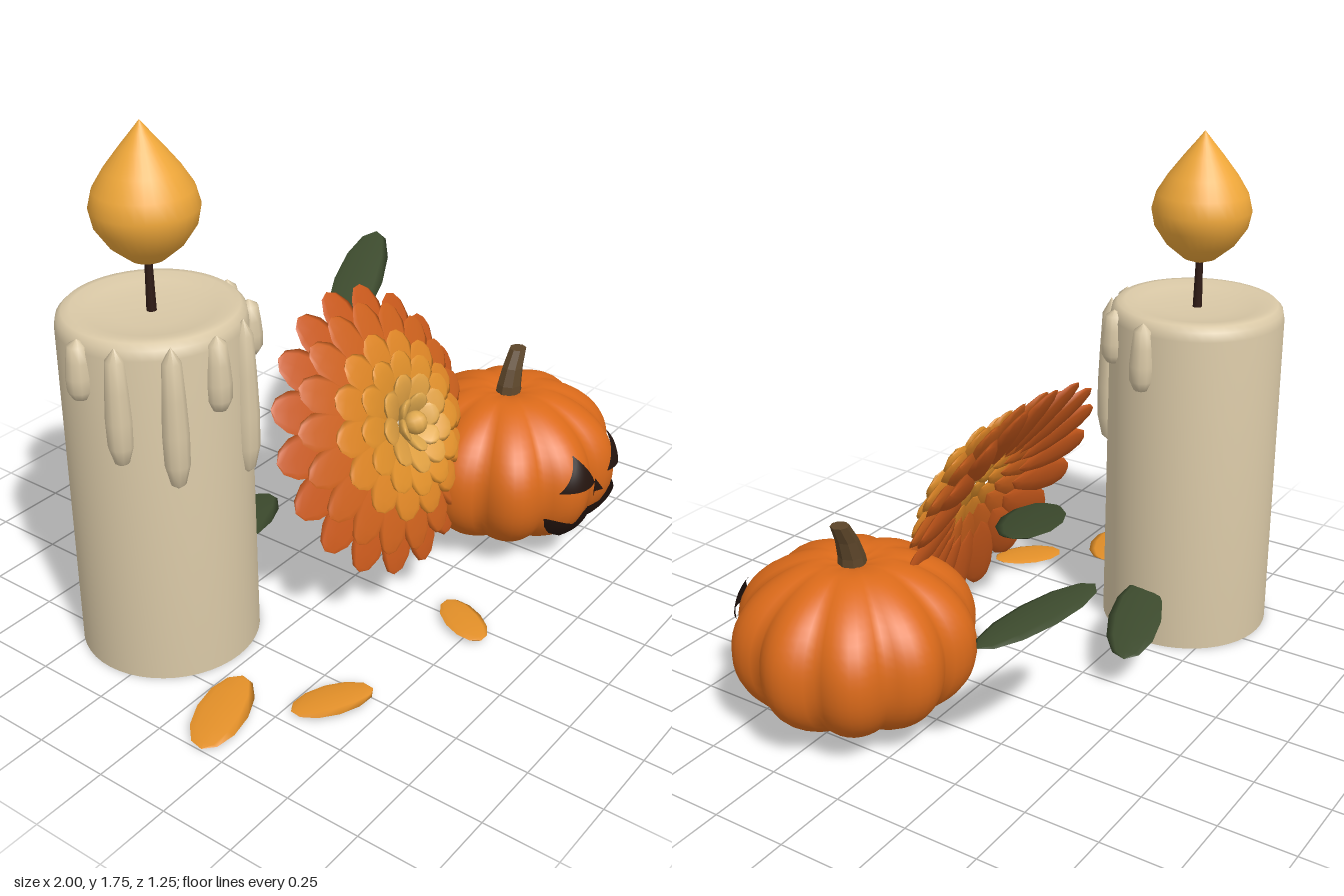
import * as THREE from 'three';
import { mergeVertices, toCreasedNormals } from 'three/addons/utils/BufferGeometryUtils.js';

const mat = (color, opts = {}) => new THREE.MeshStandardMaterial({ color, ...opts });

function add(parent, name, geometry, material, x = 0, y = 0, z = 0) {
  const mesh = new THREE.Mesh(geometry, material);
  mesh.name = name;
  mesh.position.set(x, y, z);
  parent.add(mesh);
  return mesh;
}

const lathe = (points, segments) =>
  new THREE.LatheGeometry(points.map(([r, y]) => new THREE.Vector2(r, y)), segments);

// Lens-shaped blade along +y from the origin; width in x, thickness in z, cupped by curl
function bladeGeometry(length, width, thick, skew = 1, curl = 0) {
  const geo = new THREE.SphereGeometry(1, 8, 6);
  const p = geo.attributes.position;
  for (let i = 0; i < p.count; i++) {
    const x = p.getX(i), t = (p.getY(i) + 1) / 2;
    p.setXYZ(i, x * width / 2, Math.pow(t, skew) * length,
      p.getZ(i) * thick / 2 + curl * (x * x + t * t * 0.5));
  }
  geo.computeVertexNormals();
  return geo;
}

// Flat blade lying between two points
function lyingBlade(parent, name, from, to, width, thick, material) {
  const a = new THREE.Vector3(...from), dir = new THREE.Vector3(...to).sub(a);
  const mesh = add(parent, name, bladeGeometry(dir.length(), width, thick), material, ...from);
  dir.normalize();
  const side = new THREE.Vector3().crossVectors(dir, new THREE.Vector3(0, 1, 0)).normalize();
  const up = new THREE.Vector3().crossVectors(side, dir);
  mesh.quaternion.setFromRotationMatrix(new THREE.Matrix4().makeBasis(side, dir, up));
}

function makeCandle() {
  const g = new THREE.Group();
  g.name = 'candle';
  g.position.set(-0.585, 0, -0.33);
  const wax = mat(0xd9c8a6);
  const body = lathe([[0, 0.01], [0.293, 0.01], [0.293, 1.14], [0.287, 1.17], [0.27, 1.187],
    [0.245, 1.19], [0.2, 1.178], [0.12, 1.17], [0, 1.168]], 48);
  add(g, 'waxBody', toCreasedNormals(body, 0.8), wax);
  add(g, 'wick', new THREE.CylinderGeometry(0.012, 0.016, 0.18, 10), mat(0x2e1a14), 0, 1.25, 0);
  add(g, 'flame', lathe([[0, 1.32], [0.055, 1.34], [0.115, 1.39], [0.155, 1.45], [0.166, 1.505],
    [0.152, 1.56], [0.115, 1.62], [0.065, 1.685], [0.028, 1.73], [0, 1.765]], 32), mat(0xf0a83a));

  // Wax drips: angle around the candle, lower end
  const drips = [[184, 0.98], [158, 0.79], [126, 0.71], [97, 0.93], [70, 0.65], [43, 0.99], [10, 0.94]];
  for (const [deg, low] of drips) {
    const a = deg * Math.PI / 180, len = 1.18 - low;
    const profile = [[0, 0], [0.024, 0.04], [0.04, 0.18], [0.042, 0.4], [0.037, 0.65], [0.03, 0.9], [0, 1]];
    add(g, 'waxDrip', lathe(profile.map(([r, t]) => [r, t * len]), 10), wax,
      Math.cos(a) * 0.293, low, Math.sin(a) * 0.293);
  }
  return g;
}

// Pumpkin surface: radius by height (u = -1..1) and by angle (ten ribs)
const PUMPKIN = { y: 0.31, h: 0.282, r: 0.395 };
const girth = u => PUMPKIN.r * Math.pow(Math.max(0, 1 - Math.pow(Math.abs(u), 2.2)), 0.5);
const rib = a => 0.885 + 0.115 * Math.abs(Math.cos(5 * a));

function frontZ(x, y) {
  const r = girth((y - PUMPKIN.y) / PUMPKIN.h);
  let z = r;
  for (let i = 0; i < 12; i++) {
    z = Math.sqrt(Math.max(0.001, (r * rib(Math.atan2(z, x))) ** 2 - x * x));
  }
  return z;
}

// Height of a polyline at x
function heightAt(line, x) {
  for (let i = 1; i < line.length; i++) {
    const [x0, y0] = line[i - 1], [x1, y1] = line[i];
    if (x <= x1 + 1e-6) return y0 + (y1 - y0) * (x - x0) / (x1 - x0);
  }
  return line[line.length - 1][1];
}

// Patch between an upper and a lower outline, wrapped on the pumpkin front
function facePatch(upper, lower) {
  const geo = new THREE.PlaneGeometry(1, 1, 32, 6);
  const p = geo.attributes.position;
  const x0 = upper[0][0], x1 = upper[upper.length - 1][0];
  for (let i = 0; i < p.count; i++) {
    const x = x0 + (x1 - x0) * (p.getX(i) + 0.5);
    const low = heightAt(lower, x), high = heightAt(upper, x);
    const y = low + (high - low) * (p.getY(i) + 0.5);
    p.setXYZ(i, x, y, frontZ(x, y) + 0.018);
  }
  geo.computeVertexNormals();
  return geo;
}

function makePumpkin() {
  const g = new THREE.Group();
  g.name = 'pumpkin';
  g.position.set(0.605, 0, 0.23);

  let body = new THREE.SphereGeometry(1, 80, 28);
  body.deleteAttribute('uv');
  body.deleteAttribute('normal');
  const p = body.attributes.position;
  for (let i = 0; i < p.count; i++) {
    const u = p.getY(i), a = Math.atan2(p.getZ(i), p.getX(i));
    const r = girth(u), dimple = 0.05 * Math.max(0, 1 - r / 0.18) ** 2 * Math.sign(u);
    p.setXYZ(i, Math.cos(a) * r * rib(a), PUMPKIN.y + PUMPKIN.h * u - dimple, Math.sin(a) * r * rib(a));
  }
  body = mergeVertices(body, 1e-4);
  body.computeVertexNormals();
  add(g, 'pumpkinBody', body, mat(0xdb6a1a));

  // Leaning stem
  const stem = new THREE.CylinderGeometry(0.03, 0.05, 0.18, 8, 3);
  const s = stem.attributes.position;
  for (let i = 0; i < s.count; i++) {
    const t = s.getY(i) / 0.18 + 0.5;
    s.setX(i, s.getX(i) + 0.055 * t * t);
  }
  add(g, 'stem', stem, mat(0x5c4529, { flatShading: true }), 0, 0.62, 0);

  // Carved face
  const dark = mat(0x24140e, { side: THREE.DoubleSide });
  for (const side of [-1, 1]) {
    const c = side * 0.118;
    add(g, 'eye', facePatch([[c - 0.072, 0.345], [c, 0.465], [c + 0.072, 0.345]],
      [[c - 0.072, 0.345], [c + 0.072, 0.345]]), dark);
  }
  add(g, 'nose', facePatch([[-0.035, 0.275], [0, 0.33], [0.035, 0.275]],
    [[-0.035, 0.275], [0.035, 0.275]]), dark);
  add(g, 'mouth', facePatch(
    [[-0.22, 0.245], [-0.14, 0.21], [-0.07, 0.222], [0, 0.205], [0.06, 0.235], [0.14, 0.235], [0.22, 0.245]],
    [[-0.22, 0.245], [-0.17, 0.16], [-0.08, 0.105], [0, 0.095], [0.08, 0.105], [0.17, 0.16], [0.22, 0.245]]), dark);
  return g;
}

function makeFlower() {
  const g = new THREE.Group();
  g.name = 'flower';
  g.position.set(0.06, 0.59, 0.04);
  g.rotation.x = -0.44;
  // Petal rings: count, base radius and height, tip radius and height, width, colour
  const rings = [
    [18, 0.17, 0.06, 0.49, 0, 0.155, 0xc7581b],
    [18, 0.13, 0.10, 0.425, 0.05, 0.14, 0xcb601c],
    [14, 0.10, 0.12, 0.32, 0.11, 0.135, 0xdc8425],
    [12, 0.06, 0.13, 0.245, 0.155, 0.12, 0xdf8f2a],
    [9, 0.03, 0.13, 0.17, 0.185, 0.105, 0xe0a042],
    [6, 0.015, 0.13, 0.10, 0.205, 0.085, 0xe0a94e],
  ];
  rings.forEach(([n, r0, h0, r1, h1, width, color], k) => {
    const petal = bladeGeometry(Math.hypot(r1 - r0, h1 - h0), width, 0.03, 0.72, 0.012);
    const material = mat(color);
    for (let i = 0; i < n; i++) {
      const spoke = new THREE.Group();
      spoke.name = 'petalSpoke';
      spoke.rotation.z = ((i + (k % 2) / 2) / n) * Math.PI * 2;
      add(spoke, 'petal', petal, material, 0, r0, h0).rotation.x = Math.atan2(h1 - h0, r1 - r0);
      g.add(spoke);
    }
  });
  add(g, 'flowerBud', new THREE.SphereGeometry(0.04, 10, 8), mat(0xe0a94e), 0, 0, 0.18);
  return g;
}

export function createModel() {
  const model = new THREE.Group();
  model.name = 'autumnCandleArrangement';
  model.add(makeCandle(), makePumpkin(), makeFlower());

  // Green leaves behind the flower
  const green = mat(0x3c4a2d);
  lyingBlade(model, 'leaf', [-0.35, 0.215, -0.29], [0.06, 0.155, -0.44], 0.18, 0.03, green);
  lyingBlade(model, 'leaf', [0.28, 0.765, -0.28], [0.81, 0.93, -0.5], 0.18, 0.03, green);
  lyingBlade(model, 'leaf', [0.33, 0.57, -0.48], [0.8, 0.545, -0.37], 0.15, 0.03, green);

  // Fallen petals on the ground
  const orange = mat(0xe28f28);
  lyingBlade(model, 'fallenPetal', [-1, 0.018, 0.17], [-0.69, 0.045, 0.07], 0.17, 0.024, orange);
  lyingBlade(model, 'fallenPetal', [-0.71, 0.02, 0.28], [-0.485, 0.035, 0.43], 0.145, 0.024, orange);
  lyingBlade(model, 'fallenPetal', [-0.07, 0.025, 0.565], [0.045, 0.032, 0.355], 0.13, 0.024, orange);
  return model;
}
